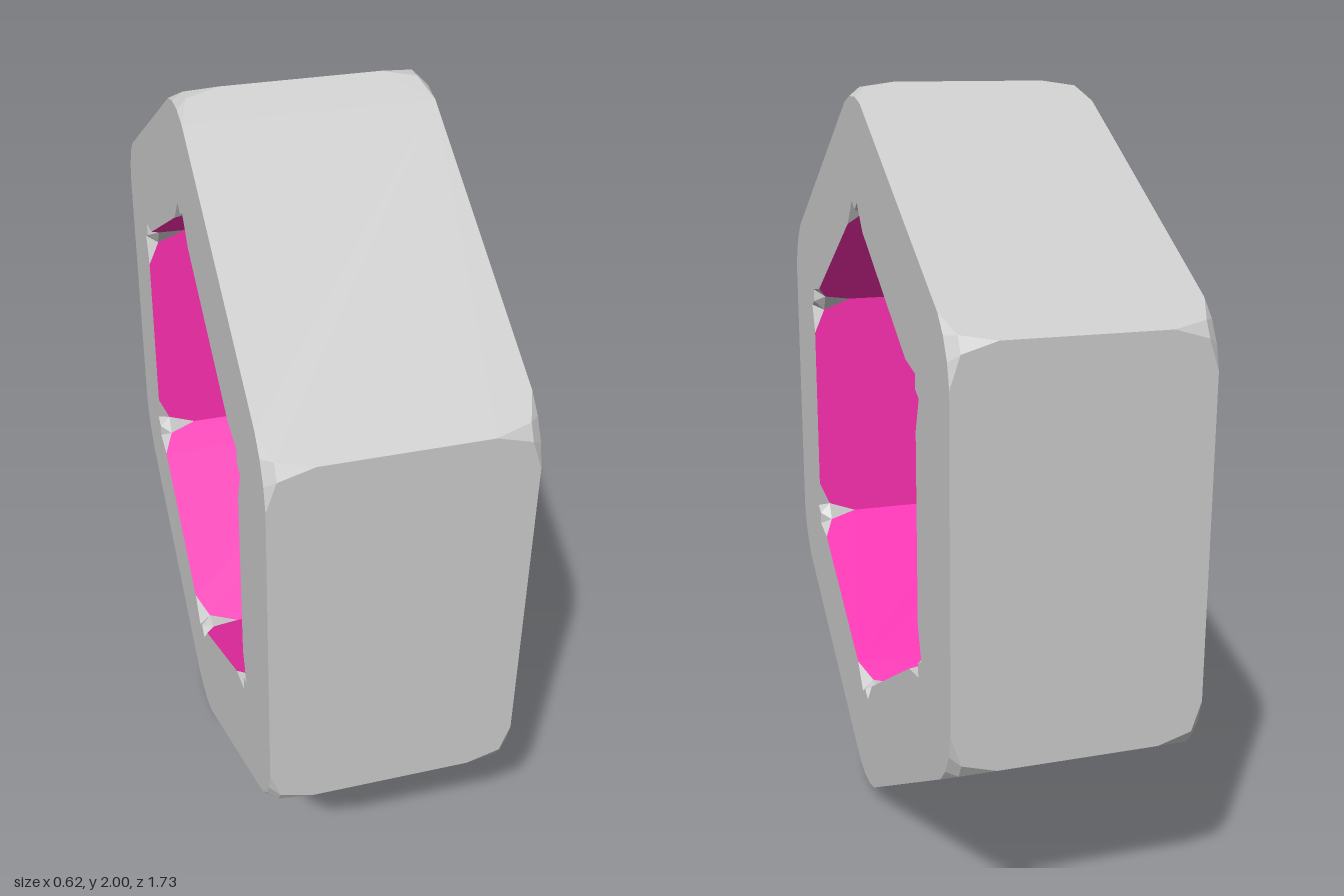
import * as THREE from 'three';

const HALF = 0.31;   // half width along x
const RIDGE = 0.2;   // half length of the sharp corner ridge

// Point beside corner k: x, tangential offset t, radius r
function pt(k, x, t, r) {
  const a = k * Math.PI / 3, c = Math.cos(a), s = Math.sin(a);
  return new THREE.Vector3(x, 1 + r * c - t * s, r * s + t * c);
}

// Point at distance d from corner k, along its flat (side = -1 or 1)
const along = (k, x, side, d, R) => pt(k, x, side * d * Math.sqrt(3) / 2, R - d / 2);

// Convex polygons as flat fans, each turned to face its hint direction
function polygons(list) {
  const pos = [];
  for (const { p, hint } of list) {
    const n = new THREE.Vector3().crossVectors(p[1].clone().sub(p[0]), p[2].clone().sub(p[0]));
    const q = n.dot(hint) < 0 ? [...p].reverse() : p;
    for (let i = 1; i < q.length - 1; i++)
      for (const v of [q[0], q[i], q[i + 1]]) pos.push(v.x, v.y, v.z);
  }
  const g = new THREE.BufferGeometry();
  g.setAttribute('position', new THREE.Float32BufferAttribute(pos, 3));
  g.computeVertexNormals();
  return g;
}

const radial = (k, x, dir) => {
  const a = k * Math.PI / 3;
  return new THREE.Vector3(x, dir * Math.cos(a), dir * Math.sin(a));
};

// The two hexagonal walls: R corner radius, dir +1 faces out, -1 faces in
const OUTER = { R: 1, dir: 1, b: 0.1, m: 0.025, mx: 0.285, dt: 0.03, dr: 0.965 };
const INNER = { R: 0.683, dir: -1, b: 0.1, m: 0.03, mx: 0.28, dt: 0.03, dr: 0.70, er: 0.68 };

const A = (w, k, s) => pt(k, s * RIDGE, 0, w.R);
const M = (w, k, s, side) => along(k, s * w.mx, side, w.m, w.R);
const B = (w, k, s, side) => along(k, s * HALF, side, w.b, w.R);
const D = (w, k, s, side) => pt(k, s * HALF, side * w.dt, w.dr);

// Six flats with rounded corners
function flats(w) {
  const list = [];
  for (let k = 0; k < 6; k++) {
    const near = [B(w, k, 1, 1), M(w, k, 1, 1), A(w, k, 1), A(w, k, -1), M(w, k, -1, 1), B(w, k, -1, 1)];
    const j = k + 1;
    const far = [B(w, j, -1, -1), M(w, j, -1, -1), A(w, j, -1), A(w, j, 1), M(w, j, 1, -1), B(w, j, 1, -1)];
    list.push({ p: [...near, ...far], hint: radial(k + 0.5, 0, w.dir) });
  }
  return polygons(list);
}

// Small chipped facets at both ends of every corner
function chips(w) {
  const list = [];
  for (let k = 0; k < 6; k++) for (const s of [-1, 1]) {
    const hint = radial(k, s, w.dir);
    const add = (...p) => list.push({ p, hint });
    const ml = M(w, k, s, -1), mr = M(w, k, s, 1);
    const dl = D(w, k, s, -1), dr = D(w, k, s, 1);
    add(A(w, k, s), ml, mr);
    add(ml, B(w, k, s, -1), dl);
    add(mr, B(w, k, s, 1), dr);
    if (w.er) {
      const e = pt(k, s * HALF, 0, w.er);
      add(ml, mr, e);
      add(ml, e, dl);
      add(mr, e, dr);
    } else add(ml, mr, dr, dl);
  }
  return polygons(list);
}

// Outline of a wall on the side face, in (z, y)
function outline(w) {
  const pts = [];
  for (let k = 0; k < 6; k++) {
    pts.push(B(w, k, 1, -1), D(w, k, 1, -1));
    if (w.er) pts.push(pt(k, HALF, 0, w.er));
    pts.push(D(w, k, 1, 1), B(w, k, 1, 1));
  }
  return pts.map(v => new THREE.Vector2(v.z, v.y));
}

export function createModel() {
  const group = new THREE.Group();
  group.name = 'hexRing';
  const grey = new THREE.MeshStandardMaterial({ color: 0xcccccc, flatShading: true });
  const pink = new THREE.MeshStandardMaterial({ color: 0xff30b2, flatShading: true });
  const add = (name, geometry, material) => {
    const mesh = new THREE.Mesh(geometry, material);
    mesh.name = name;
    group.add(mesh);
    return mesh;
  };

  add('outerFlats', flats(OUTER), grey);
  add('outerCornerChips', chips(OUTER), grey);
  add('innerFlats', flats(INNER), pink);
  add('innerCornerChips', chips(INNER), grey);

  // Flat side faces with the hexagonal opening
  const face = new THREE.Shape(outline(OUTER));
  face.holes.push(new THREE.Path(outline(INNER)));
  for (const s of [-1, 1]) {
    const g = new THREE.ShapeGeometry(face);
    if (s > 0) g.scale(-1, 1, 1).rotateY(Math.PI / 2);
    else g.rotateY(-Math.PI / 2);
    // Undo the mirrored winding on the scaled side
    if (s > 0) {
      const i = g.index.array;
      for (let t = 0; t < i.length; t += 3) [i[t], i[t + 1]] = [i[t + 1], i[t]];
      g.computeVertexNormals();
    }
    g.translate(s * HALF, 0, 0);
    add(s > 0 ? 'leftFace' : 'rightFace', g, grey);
  }
  return group;
}
